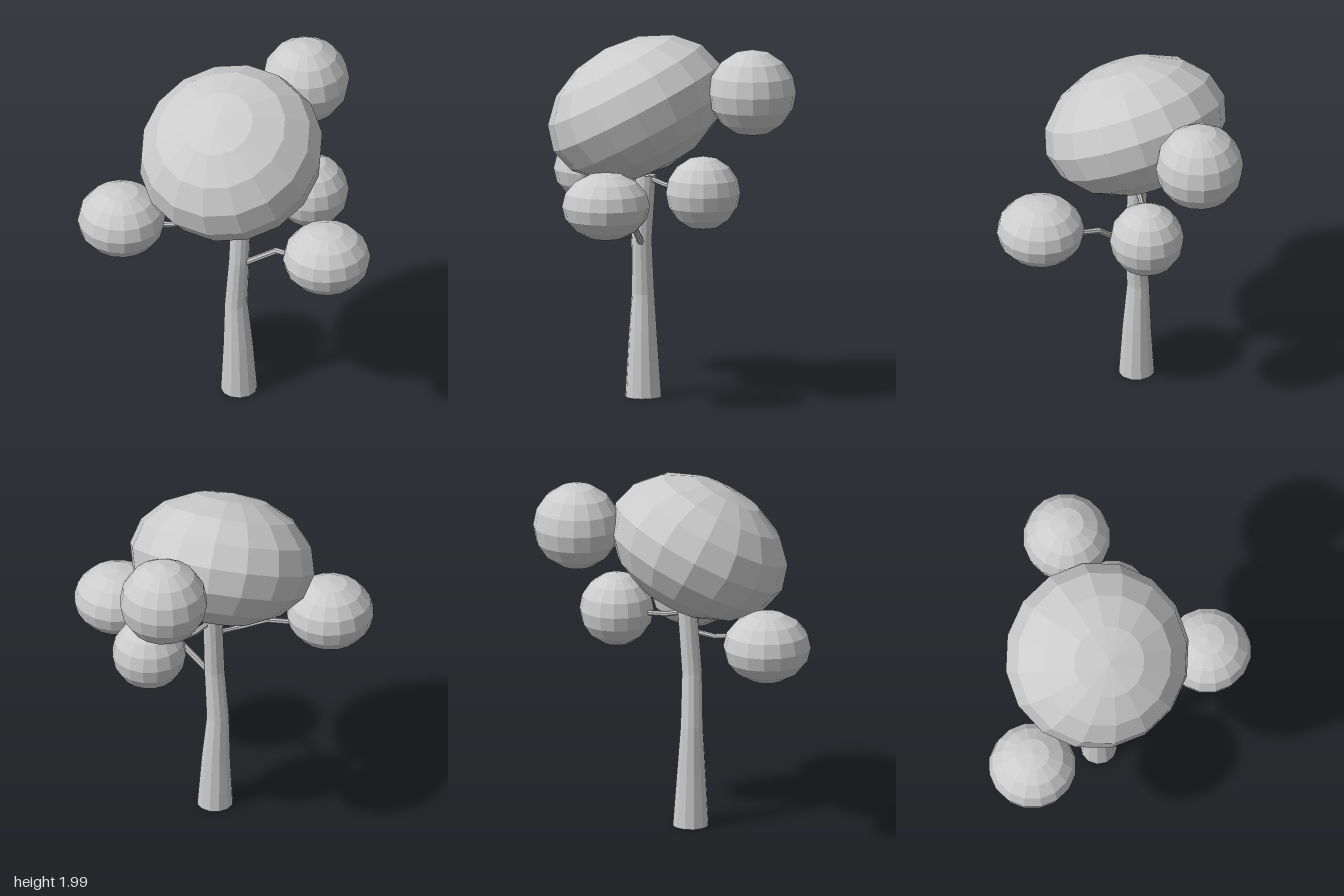
import * as THREE from 'three';

const material = new THREE.MeshStandardMaterial({ color: 0xcccccc, flatShading: true });
const openMaterial = new THREE.MeshStandardMaterial({ color: 0xcccccc, flatShading: true, side: THREE.DoubleSide });
const UP = new THREE.Vector3(0, 1, 0);

// Open tube through rings given as [x, y, z, radius]; level keeps every ring horizontal
function limb(name, rings, sides, level = false) {
  const centres = rings.map(([x, y, z]) => new THREE.Vector3(x, y, z));
  const positions = [];
  const index = [];
  const turn = new THREE.Quaternion();
  rings.forEach(([, , , radius], i) => {
    const before = centres[Math.max(i - 1, 0)];
    const after = centres[Math.min(i + 1, centres.length - 1)];
    turn.identity();
    if (!level) turn.setFromUnitVectors(UP, after.clone().sub(before).normalize());
    for (let j = 0; j < sides; j++) {
      const a = (j / sides) * Math.PI * 2;
      const p = new THREE.Vector3(Math.sin(a) * radius, 0, Math.cos(a) * radius);
      p.applyQuaternion(turn).add(centres[i]);
      positions.push(p.x, p.y, p.z);
      if (i > 0) {
        const k = (j + 1) % sides;
        const low = (i - 1) * sides;
        const high = i * sides;
        index.push(low + j, low + k, high + k, low + j, high + k, high + j);
      }
    }
  });
  const geometry = new THREE.BufferGeometry();
  geometry.setAttribute('position', new THREE.Float32BufferAttribute(positions, 3));
  geometry.setIndex(index);
  geometry.computeVertexNormals();
  const mesh = new THREE.Mesh(geometry, openMaterial);
  mesh.name = name;
  return mesh;
}

// Faceted ball of leaves, squashed along its own axis
function foliage(name, centre, radius, height, axis = UP) {
  const geometry = new THREE.SphereGeometry(1, 16, 8);
  geometry.scale(radius, height, radius);
  const mesh = new THREE.Mesh(geometry, material);
  mesh.position.set(...centre);
  mesh.quaternion.setFromUnitVectors(UP, axis.clone().normalize());
  mesh.name = name;
  return mesh;
}

export function createModel() {
  const tree = new THREE.Group();
  tree.name = 'tree';

  // Gently bent, tapering trunk
  tree.add(limb('trunk', [
    [0.095, 0, 0.03, 0.1],
    [0.09, 0.3, 0.03, 0.081],
    [0.08, 0.57, 0.025, 0.063],
    [0.095, 0.87, 0.04, 0.057],
    [0.11, 1.23, 0.02, 0.055],
  ], 12, true));

  // Thin kinked branches reaching into the leaf balls
  tree.add(limb('rightBranch', [
    [0.09, 1.1, 0.06, 0.014],
    [-0.05, 1.1, 0.08, 0.014],
    [-0.2, 1.14, 0.06, 0.016],
    [-0.36, 1.12, 0.03, 0.016],
  ], 8));
  tree.add(limb('frontLeftBranch', [
    [0.12, 0.85, 0.05, 0.018],
    [0.29, 1.025, 0.19, 0.018],
    [0.36, 1.045, 0.26, 0.016],
    [0.42, 1.08, 0.33, 0.016],
  ], 8));
  tree.add(limb('backLeftBranch', [
    [0.11, 1.22, 0.02, 0.015],
    [0.22, 1.19, -0.04, 0.015],
    [0.38, 1.175, -0.1, 0.015],
  ], 8));

  // Large tilted crown
  tree.add(foliage('crown', [0.05, 1.595, 0.05], 0.515, 0.367, new THREE.Vector3(-0.25, 0.88, 0.4)));

  // Smaller leaf balls
  tree.add(foliage('rightFoliage', [-0.55, 1.167, 0.025], 0.241, 0.198));
  tree.add(foliage('frontLeftFoliage', [0.545, 1.148, 0.445], 0.241, 0.188));
  tree.add(foliage('backLeftFoliage', [0.507, 1.178, -0.15], 0.204, 0.204));
  tree.add(foliage('upperFoliage', [0.495, 1.712, -0.447], 0.241, 0.239));

  return tree;
}
